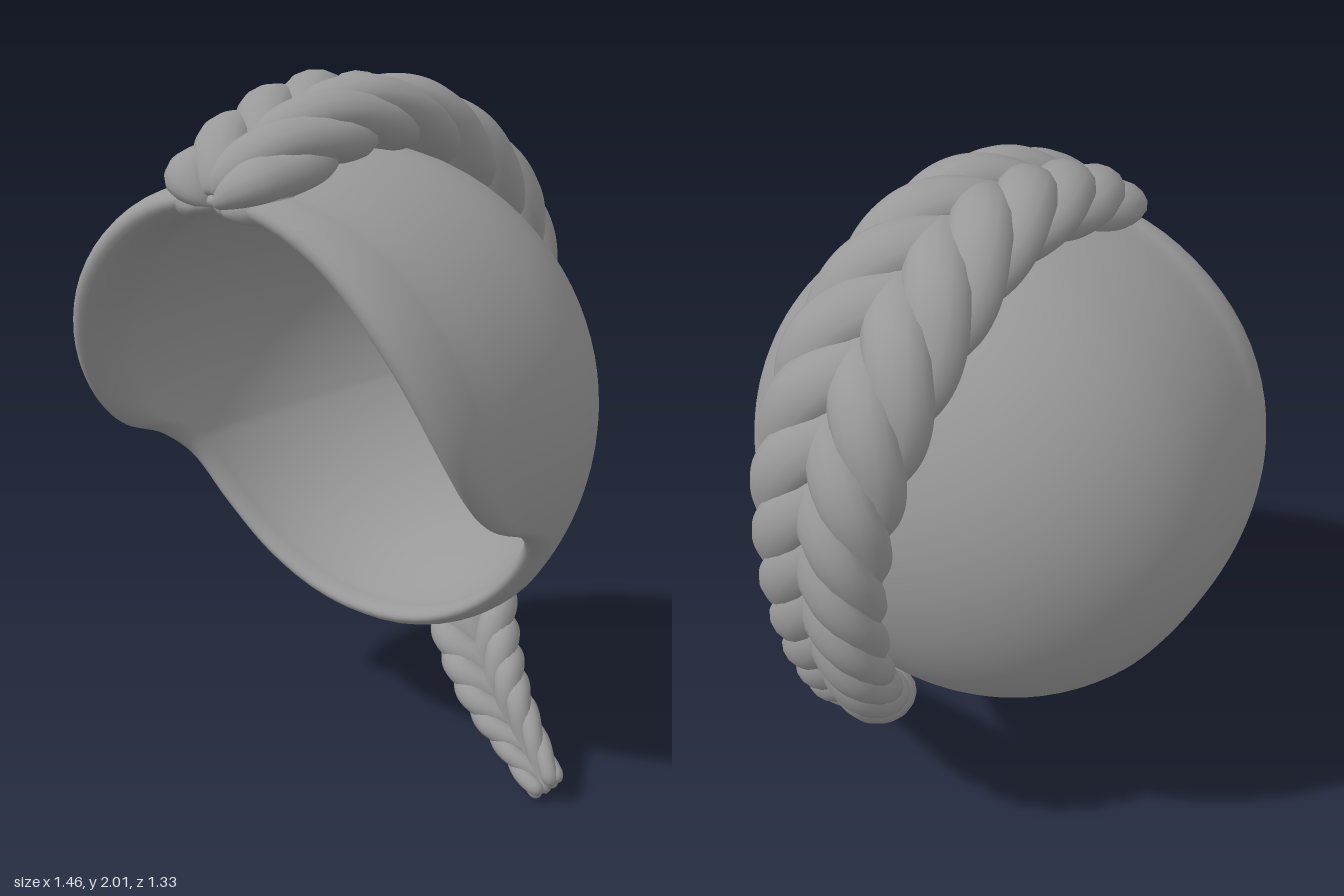
import * as THREE from 'three';
import { mergeVertices } from 'three/addons/utils/BufferGeometryUtils.js';

const V = (x, y, z) => new THREE.Vector3(x, y, z);
const { lerp, smoothstep } = THREE.MathUtils;
const material = new THREE.MeshStandardMaterial({ color: 0x999999 });

// Smooth surface through a grid of points given by fn(row, column)
function gridSurface(rows, cols, fn) {
  const pos = [], index = [];
  for (let i = 0; i <= rows; i++) {
    for (let j = 0; j <= cols; j++) pos.push(...fn(i, j).toArray());
  }
  for (let i = 0; i < rows; i++) {
    for (let j = 0; j < cols; j++) {
      const a = i * (cols + 1) + j, b = a + 1, d = a + cols + 1, c = d + 1;
      index.push(a, b, d, b, c, d);
    }
  }
  let g = new THREE.BufferGeometry();
  g.setAttribute('position', new THREE.Float32BufferAttribute(pos, 3));
  g.setIndex(index);
  g = mergeVertices(g, 1e-5);
  g.computeVertexNormals();
  return g;
}

function named(name, geometry) {
  const mesh = new THREE.Mesh(geometry, material);
  mesh.name = name;
  return mesh;
}

// Hair cap: ellipsoid shell, cut along a rim that steps back below the temples
function buildCap() {
  const rim = new THREE.CatmullRomCurve3([ // angle from the crown (degrees), rim depth z
    [0, 0.64], [30, 0.635], [58, 0.62], [83, 0.55], [97, 0.46], [104, 0.37], [109, 0.23],
    [116, 0.14], [130, 0.095], [149, 0.075], [180, 0.065],
  ].map(([deg, z]) => V(deg * Math.PI / 180, z, 0)));
  const half = 56, outer = 30, lip = 16;

  return gridSurface(2 * outer + lip, 2 * half, (i, j) => {
    const side = j <= half ? -1 : 1;
    const p = rim.getPoint(j <= half ? j / half : (2 * half - j) / half);
    // the lip is broadest at the upper sides
    const psi = p.x, thick = 0.065 + 0.075 * Math.max(0, Math.sin(1.6 * psi));
    const bulge = 1.1 * thick, dz = p.y - bulge - 0.15;
    const aRim = Math.asin(dz / (dz > 0 ? 0.95 : 0.645));
    // outer wall, rounded lip, inner wall that thins towards the back
    let f = 1, inset = 0, push = 0;
    if (i < outer) f = i / outer;
    else if (i <= outer + lip) {
      const beta = Math.PI * (i - outer) / lip;
      inset = thick / 2 * (1 - Math.cos(beta));
      push = bulge * Math.sin(beta);
    } else {
      f = (2 * outer + lip - i) / outer;
      inset = lerp(0.06, thick, f);
    }
    const a = -Math.PI / 2 + f * (aRim + Math.PI / 2);
    const ca = Math.cos(a), sa = Math.sin(a);
    const ry = Math.cos(psi) > 0 ? 0.705 : 0.745;
    return V(
      side * (0.73 - inset) * ca * Math.sin(psi),
      1.12 + (ry - inset) * ca * Math.cos(psi),
      0.15 + (sa > 0 ? 0.95 : 0.645 - inset) * sa + push);
  });
}

// Braid path: x, y, z, half width
const PATH = [
  [0, 1.71, 0.63, 0.2], [0, 1.81, 0.46, 0.21], [0, 1.885, 0.22, 0.22], [0.01, 1.875, 0, 0.23],
  [0.02, 1.78, -0.2, 0.245], [0.03, 1.61, -0.39, 0.25], [0.04, 1.36, -0.52, 0.23],
  [0.04, 1.1, -0.56, 0.205], [0.04, 0.84, -0.53, 0.19], [0.07, 0.62, -0.43, 0.17],
  [0.17, 0.41, -0.25, 0.15], [0.35, 0.235, -0.11, 0.115], [0.51, 0.115, -0.045, 0.08],
  [0.63, 0.03, 0, 0.06],
];
const STRANDS = 6;

// Strands weaving in a flat figure of eight, meeting in chevrons along the middle
function buildBraid() {
  const braid = new THREE.Group();
  braid.name = 'braid';
  const spine = new THREE.CatmullRomCurve3(PATH.map(([x, y, z]) => V(x, y, z)));
  const rows = 360, cols = 14;
  const frames = [];
  let phase = 0.6;
  for (let i = 0; i <= rows; i++) {
    const u = i / rows, k = Math.min(u * (PATH.length - 1), PATH.length - 1.0001), n = Math.floor(k);
    const w = lerp(PATH[n][3], PATH[n + 1][3], k - n);
    const p = spine.getPoint(u), t = spine.getTangent(u);
    const s = V(1, 0, 0).addScaledVector(t, -t.x).normalize();
    // long weave on the crown and tail, tighter down the back
    const pitch = (4.9 - 0.6 * Math.sin(Math.PI * u)) * Math.max(w, 0.12);
    if (i) phase += 2 * Math.PI * p.distanceTo(frames[i - 1].p) / pitch;
    const start = Math.sqrt(1 - Math.max(0, 1 - u / 0.035) ** 2);
    const end = Math.sqrt(1 - Math.max(0, 1 - (1 - u) / 0.015) ** 2);
    const depth = w * start * lerp(1, 1.35, smoothstep(u, 0.6, 0.8));
    frames.push({ p, s, n: s.clone().cross(t), w: w * start, depth, end, phase });
  }

  for (let strand = 0; strand < STRANDS; strand++) {
    const angle = (f) => f.phase + strand * 2 * Math.PI / STRANDS;
    const centres = frames.map((f) => f.p.clone()
      .addScaledVector(f.s, 0.63 * f.w * Math.sin(angle(f)))
      .addScaledVector(f.n, f.depth * (0.06 + 0.18 * Math.sin(2 * angle(f) + 0.35))));
    const sections = frames.map((f, i) => {
      const d = centres[Math.min(i + 1, rows)].clone().sub(centres[Math.max(i - 1, 0)]).normalize();
      const n = f.n.clone().addScaledVector(d, -f.n.dot(d)).normalize();
      return { n, b: n.clone().cross(d) };
    });
    braid.add(named('strand' + (strand + 1), gridSurface(rows, cols, (i, j) => {
      const a = (j % cols) / cols * 2 * Math.PI, f = frames[i];
      return centres[i].clone()
        .addScaledVector(sections[i].b, 0.37 * f.w * f.end * Math.cos(a))
        .addScaledVector(sections[i].n, 0.27 * f.depth * f.end * Math.sin(a));
    })));
  }
  return braid;
}

export function createModel() {
  const model = new THREE.Group();
  model.name = 'braidedHair';
  model.add(named('hairCap', buildCap()), buildBraid());
  return model;
}
